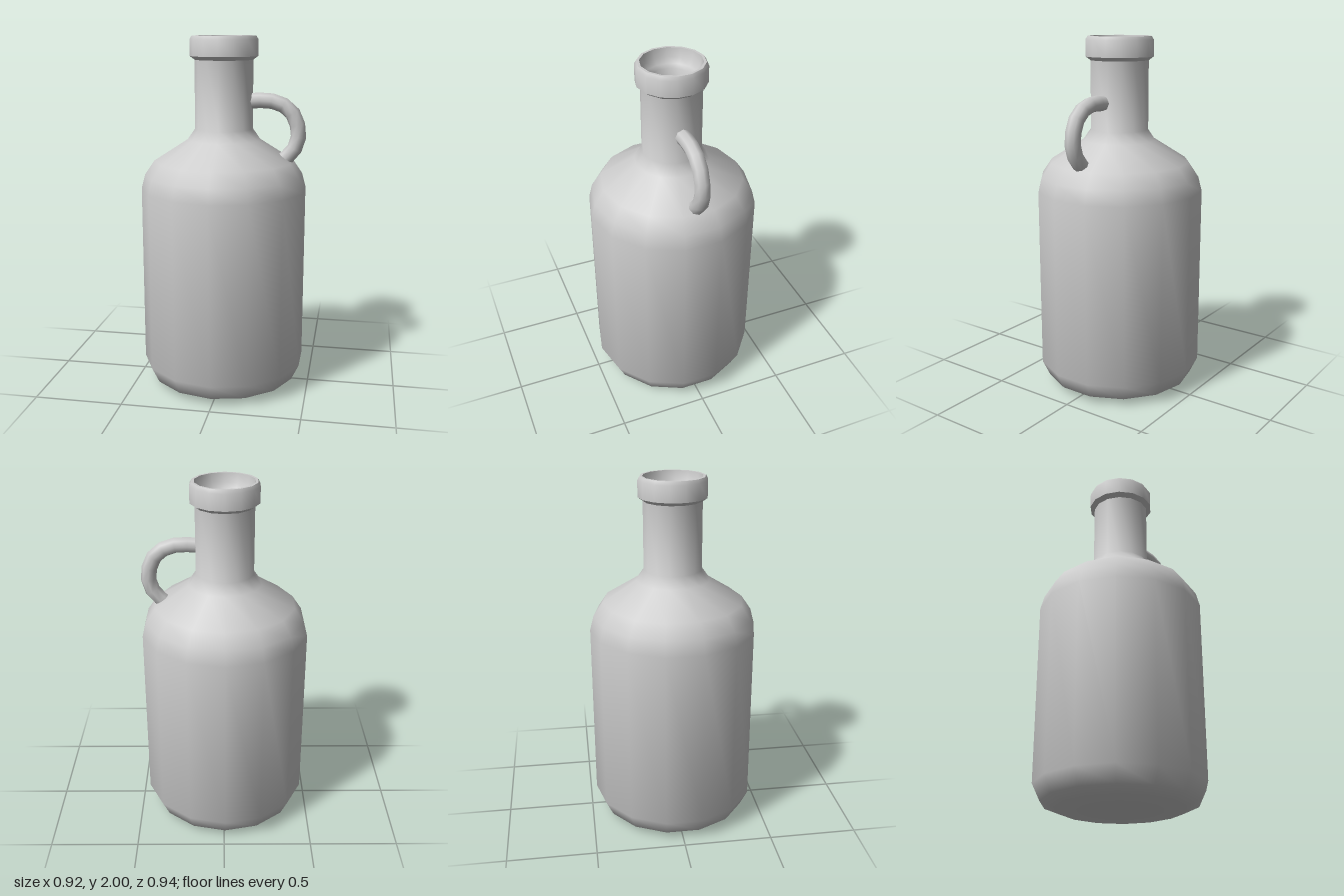
import * as THREE from 'three';
import { toCreasedNormals } from 'three/addons/utils/BufferGeometryUtils.js';

const SIDES = 14;
const CENTRE_X = -0.006;

export function createModel() {
  const group = new THREE.Group();
  group.name = 'jug';
  const material = new THREE.MeshStandardMaterial({ color: 0xcccccc });

  const turned = (name, profile) => {
    const points = profile.map(([r, y]) => new THREE.Vector2(r, y));
    const mesh = new THREE.Mesh(toCreasedNormals(new THREE.LatheGeometry(points, SIDES), 0.9), material);
    mesh.name = name;
    mesh.position.x = CENTRE_X;
    group.add(mesh);
  };

  // Outer wall: base, body, shoulder, neck and lip
  turned('bottle', [
    [0, 0], [0.34, 0.005], [0.427, 0.04], [0.47, 0.13],
    [0.47, 1.15], [0.449, 1.23], [0.395, 1.31],
    [0.205, 1.43], [0.163, 1.49], [0.163, 1.87],
    [0.19, 1.89], [0.19, 1.98], [0.178, 2], [0.164, 2],
  ]);

  // Inner wall: mouth, stepped ledge, neck bore and hollow body
  turned('interior', [
    [0.164, 2], [0.157, 1.95], [0.138, 1.92], [0.122, 1.9],
    [0.118, 1.48], [0.18, 1.4], [0.365, 1.28], [0.43, 1.14],
    [0.43, 0.14], [0.33, 0.04], [0, 0.04],
  ]);

  // Ring handle from the neck to the shoulder, ends sunk into the walls
  const path = new THREE.CatmullRomCurve3([
    [0.13, 1.645], [0.23, 1.65], [0.31, 1.634], [0.378, 1.583],
    [0.415, 1.47], [0.393, 1.385], [0.34, 1.325], [0.3, 1.29],
  ].map(([x, y]) => new THREE.Vector3(x, y, 0)));
  const handle = new THREE.Mesh(new THREE.TubeGeometry(path, 9, 0.043, 8), material);
  handle.name = 'handle';
  group.add(handle);

  return group;
}
